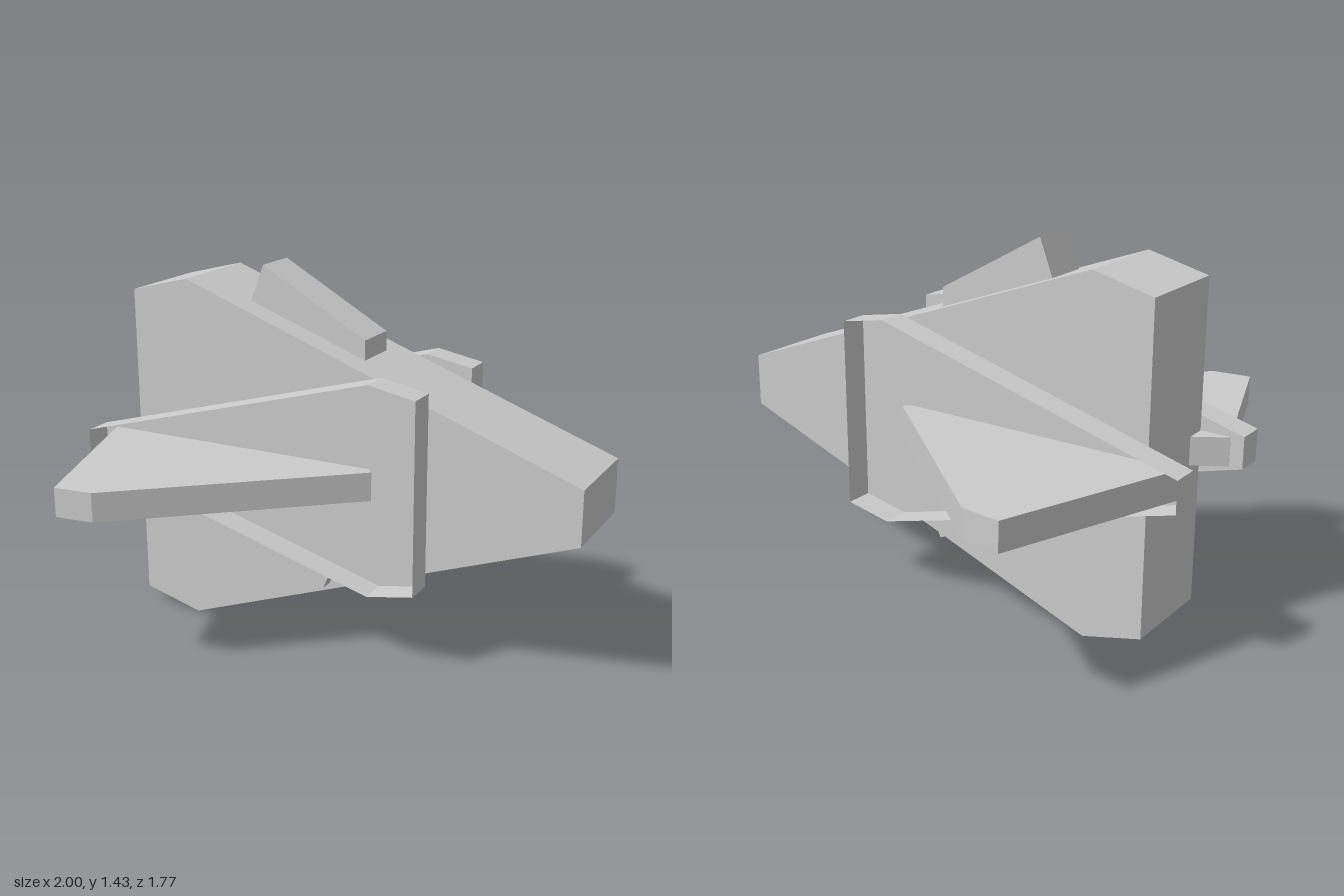
import * as THREE from 'three';
import { mergeGeometries } from 'three/addons/utils/BufferGeometryUtils.js';

const material = new THREE.MeshStandardMaterial({ color: 0xcccccc, flatShading: true, side: THREE.DoubleSide });

const toShape = (points) => new THREE.Shape(points.map(([x, y]) => new THREE.Vector2(x, y)));

// Flat-sided slab: an outline extruded from depth a to depth b
function slab(points, a, b) {
  return new THREE.ExtrudeGeometry(toShape(points), { depth: b - a, bevelEnabled: false }).translate(0, 0, a);
}

// Shallow tray: a floor at depth a with walls out to depth b, open on that side
function tray(points, a, b) {
  const walls = points.map(([x0, y0], i) => {
    const [x1, y1] = points[(i + 1) % points.length];
    const dx = x1 - x0, dy = y1 - y0;
    return new THREE.PlaneGeometry(Math.hypot(dx, dy), Math.abs(b - a))
      .rotateX(Math.PI / 2)
      .rotateZ(Math.atan2(dy, dx))
      .translate((x0 + x1) / 2, (y0 + y1) / 2, (a + b) / 2);
  });
  return mergeGeometries([new THREE.ShapeGeometry(toShape(points)).translate(0, 0, a), ...walls]);
}

export function createModel() {
  const group = new THREE.Group();
  const add = (name, geometry) => {
    const mesh = new THREE.Mesh(geometry, material);
    mesh.name = name;
    group.add(mesh);
  };

  // Tall wedge hull, nose towards +x
  add('hull', slab([
    [-0.83, 0.063], [-0.59, 0], [1, 0.582], [1, 0.79], [-0.59, 1.368], [-0.83, 1.307],
  ], -0.193, 0.193));

  // Stubby fin on the sloping top of the hull
  add('topFin', slab([
    [-0.4, 1.2], [0.116, 1.05], [0.116, 1.186], [-0.312, 1.427],
  ], -0.088, 0.088));

  const plate = [[-1, 0.624], [0.235, 0.282], [0.421, 0.318], [0.421, 1.053], [0.235, 1.087], [-1, 0.746]];
  const lowerFin = [[-0.313, 0.434], [-0.31, 0.391], [0.021, 0.249], [0.057, 0.331]];
  // Wing outline in x and outward distance
  const wing = [[-0.95, 0.19], [-0.7, 0.886], [-0.55, 0.87], [0.212, 0.223], [0.1, 0.1], [-0.82, 0.108]];

  for (const [side, s] of [['front', 1], ['back', -1]]) {
    // Side plate, hollow and open outwards around the wing root
    add(side + 'SidePlate', tray(plate, s * 0.195, s * 0.305));
    add(side + 'LowerFin', slab(lowerFin, s * 0.212 - 0.031, s * 0.212 + 0.031));
    // Horizontal wing laid flat in the xz plane
    const outline = wing.map(([x, z]) => [x, -s * z]);
    add(side + 'Wing', slab(outline, 0.626, 0.736).rotateX(-Math.PI / 2));
  }
  return group;
}
